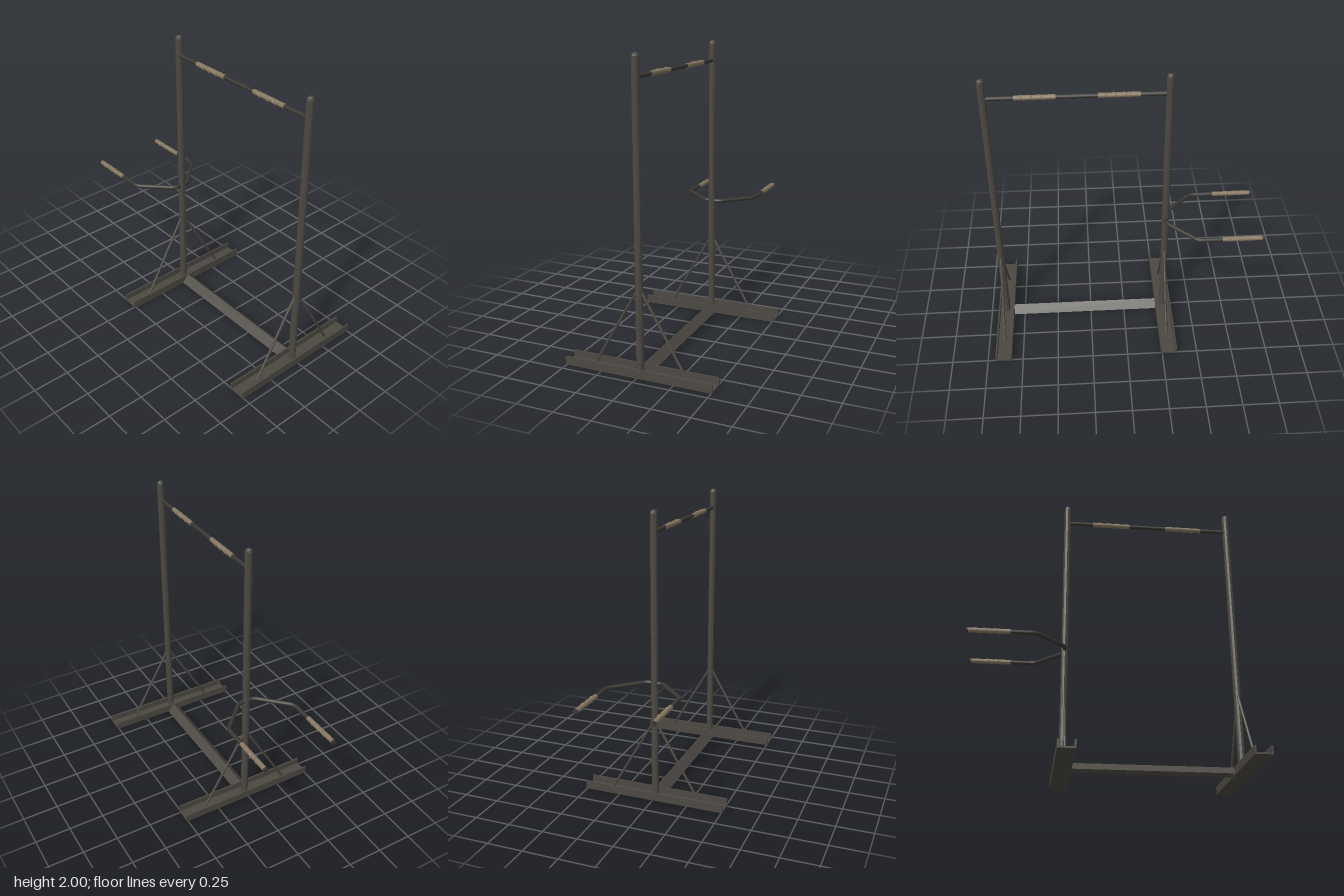
import * as THREE from 'three';

export function createModel() {
  const model = new THREE.Group();
  const paint = (name, color) => {
    const m = new THREE.MeshStandardMaterial({ color });
    m.name = name;
    return m;
  };
  const steel = paint('grey steel', 0x4c4842);
  const dark = paint('dark steel', 0x3a3733);
  const tape = paint('tan grip tape', 0x857660);
  steel.flatShading = true;

  const add = (name, geometry, material, parent = model) => {
    const mesh = new THREE.Mesh(geometry, material);
    mesh.name = name;
    parent.add(mesh);
    return mesh;
  };
  const V = (x, y, z) => new THREE.Vector3(x, y, z);

  // Round rod between two points
  const rod = (name, a, b, r, material, sides = 12, parent = model) => {
    const mesh = add(name, new THREE.CylinderGeometry(r, r, a.distanceTo(b), sides), material, parent);
    mesh.position.copy(a).add(b).multiplyScalar(0.5);
    mesh.quaternion.setFromUnitVectors(V(0, 1, 0), b.clone().sub(a).normalize());
    return mesh;
  };

  // Constant section in x/y, extruded along z and centred
  const section = (points, length) => {
    const shape = new THREE.Shape(points.map(([x, y]) => new THREE.Vector2(x, y)));
    const g = new THREE.ExtrudeGeometry(shape, { depth: length, bevelEnabled: false });
    return g.translate(0, 0, -length / 2);
  };

  // Tape sleeve with a raised spiral winding, along x
  class Spiral extends THREE.Curve {
    getPoint(t, target = new THREE.Vector3()) {
      const a = t * Math.PI * 2 * 3;
      return target.set((t - 0.5) * 0.19, Math.cos(a) * 0.0145, Math.sin(a) * 0.0145);
    }
  }
  const spiral = new THREE.TubeGeometry(new Spiral(), 60, 0.0055, 6);
  const grip = (name, x0, x1, y, z) => {
    const g = new THREE.Group();
    g.name = name;
    g.position.set((x0 + x1) / 2, y, z);
    const half = (x1 - x0) / 2;
    rod('gripSleeve', V(-half, 0, 0), V(half, 0, 0), 0.0165, tape, 12, g);
    add('gripWinding', spiral, tape, g);
    model.add(g);
  };

  // Uprights, each on a channel foot with two braces
  const postX = [-0.297, 0.886];
  const channel = [[-0.058, 0], [0.058, 0], [0.058, 0.056], [0.047, 0.056],
    [0.047, 0.012], [-0.047, 0.012], [-0.047, 0.056], [-0.058, 0.056]];
  const postProfile = [[0, 0.008], [0.025, 0.008], [0.025, 1.978], [0.021, 1.991], [0.012, 1.998], [0, 2]]
    .map(([r, y]) => new THREE.Vector2(r, y));
  for (const x of postX) {
    const side = new THREE.Group();
    side.name = x > 0 ? 'leftUpright' : 'rightUpright';
    side.position.x = x;
    model.add(side);
    add('post', new THREE.LatheGeometry(postProfile, 10), steel, side);
    add('foot', section(channel, 1.016), steel, side);
    for (const s of [-1, 1])
      rod('brace', V(0, 0.56, s * 0.012), V(0, 0.01, s * 0.328), 0.009, steel, 8, side);
  }

  // Angle-iron beam joining the feet, ridge upward
  const angle = [[-0.053, 0.003], [-0.039, 0.003], [0, 0.042], [0.039, 0.003], [0.053, 0.003], [0, 0.056]];
  const beam = add('baseBeam', section(angle, 1.085), steel);
  beam.rotation.y = Math.PI / 2;
  beam.position.x = 0.295;

  // Overhead bar
  rod('pullUpBar', V(postX[0], 1.86, 0), V(postX[1], 1.86, 0), 0.014, dark);
  grip('rightBarGrip', -0.11, 0.16, 1.86, 0);
  grip('leftBarGrip', 0.425, 0.69, 1.86, 0);

  // Dip bar: one bent tube passing through the right post
  const y = 0.845, w = 0.257;
  const path = new THREE.CurvePath();
  const line = (a, b) => path.add(new THREE.LineCurve3(a, b));
  const bend = (a, b, c) => path.add(new THREE.QuadraticBezierCurve3(a, b, c));
  line(V(-0.948, y, w), V(-0.53, y, w));
  bend(V(-0.53, y, w), V(-0.498, y, w), V(-0.475, y, w - 0.023));
  line(V(-0.475, y, w - 0.023), V(-0.32, y, 0.08));
  bend(V(-0.32, y, 0.08), V(-0.297, y, 0.057), V(-0.297, y, 0.03));
  line(V(-0.297, y, 0.03), V(-0.297, y, -0.03));
  bend(V(-0.297, y, -0.03), V(-0.297, y, -0.057), V(-0.32, y, -0.08));
  line(V(-0.32, y, -0.08), V(-0.475, y, -w + 0.023));
  bend(V(-0.475, y, -w + 0.023), V(-0.498, y, -w), V(-0.53, y, -w));
  line(V(-0.53, y, -w), V(-0.948, y, -w));
  add('dipBar', new THREE.TubeGeometry(path, 120, 0.014, 12), dark);
  for (const s of [-1, 1]) {
    grip(s > 0 ? 'frontDipGrip' : 'backDipGrip', -0.938, -0.665, y, s * w);
    rod('dipEndCap', V(-0.95, y, s * w), V(-0.938, y, s * w), 0.0165, dark);
  }
  return model;
}
